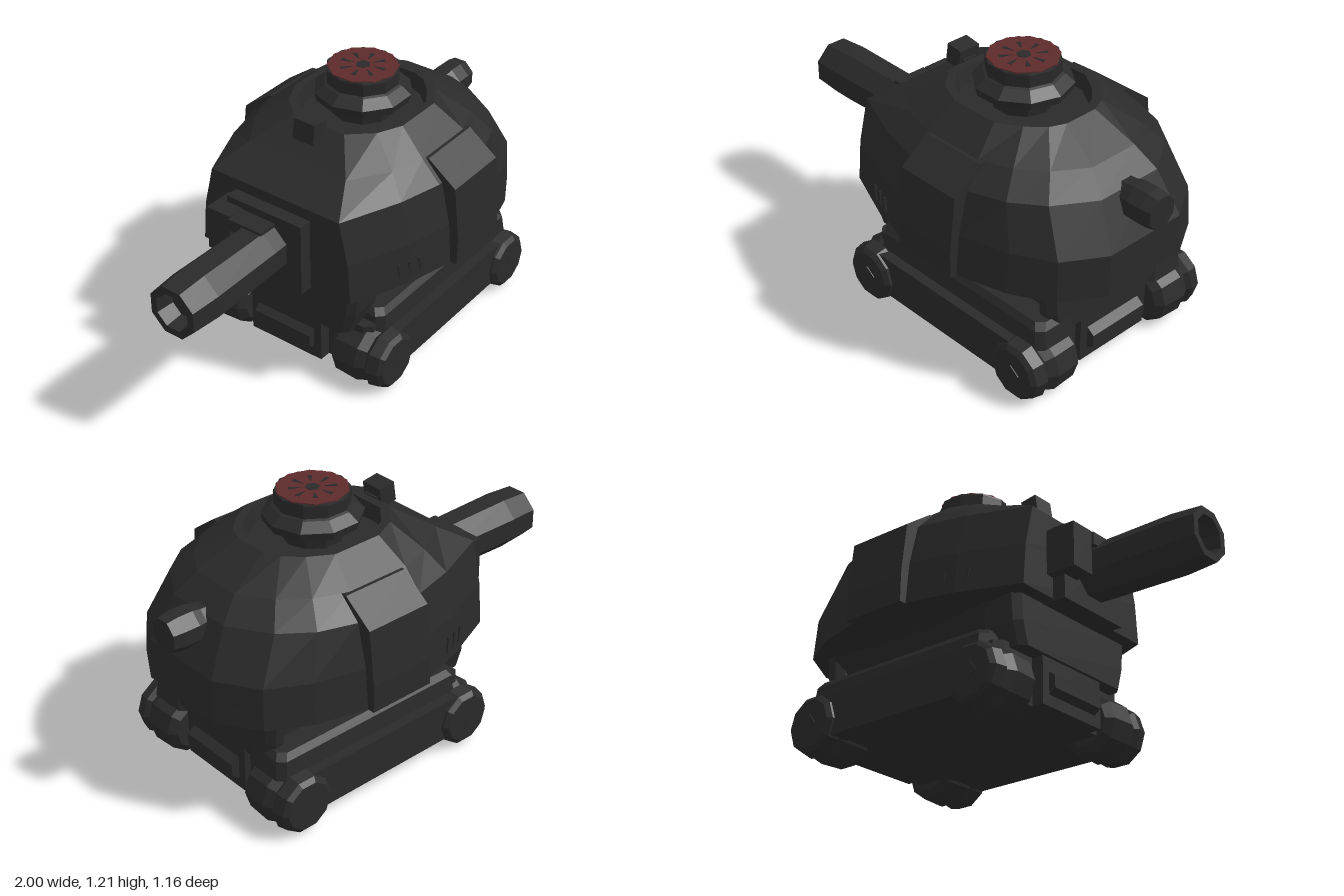
import * as THREE from 'three';

const flat = (name, color) => {
  const m = new THREE.MeshStandardMaterial({ color, flatShading: true });
  m.name = name;
  return m;
};

// Skin a stack of closed rings (counter-clockwise from above), capped at both ends
function loft(rings) {
  const v = [];
  const n = rings[0].length;
  const mid = r => r.reduce((s, p) => s.map((c, i) => c + p[i] / n), [0, 0, 0]);
  const low = mid(rings[0]), top = mid(rings.at(-1));
  for (let i = 0; i < n; i++) {
    const j = (i + 1) % n;
    for (let k = 0; k < rings.length - 1; k++) {
      const a = rings[k], b = rings[k + 1];
      v.push(...a[i], ...a[j], ...b[j], ...a[i], ...b[j], ...b[i]);
    }
    v.push(...low, ...rings[0][j], ...rings[0][i], ...top, ...rings.at(-1)[i], ...rings.at(-1)[j]);
  }
  const g = new THREE.BufferGeometry();
  g.setAttribute('position', new THREE.Float32BufferAttribute(v, 3));
  g.computeVertexNormals();
  return g;
}

// Ring from one half outline (x, z), mirrored across z
const ring = (y, half) => [
  ...half.map(([x, z]) => [x, y, z]),
  ...[...half].reverse().map(([x, z]) => [x, y, -z]),
];
// Ring for a rectangle with cut corners
const rect = (y, x0, x1, z, c = 0.03) => ring(y, [[x0, z - c], [x0 + c, z], [x1 - c, z], [x1, z - c]]);

export function createModel() {
  const dark = flat('dark metal', 0x2a2a2a);
  const red = flat('hatch red', 0x5e2b2b);
  const model = new THREE.Group();
  const add = (name, geo, mat = dark, x = 0, y = 0, z = 0, parent = model) => {
    const m = new THREE.Mesh(geo, mat);
    m.name = name;
    m.position.set(x, y, z);
    parent.add(m);
    return m;
  };
  const box = (name, x0, x1, y0, y1, z0, z1) =>
    add(name, new THREE.BoxGeometry(x1 - x0, y1 - y0, z1 - z0), dark, (x0 + x1) / 2, (y0 + y1) / 2, (z0 + z1) / 2);

  // Turret shell with a sunken ring around the hatch
  const base = [[-0.37, 0.39], [-0.1, 0.5], [0.1, 0.55], [0.43, 0.55], [0.65, 0.49], [0.83, 0.39], [0.935, 0.21]];
  const rim = [[-0.07, 0.13], [0.02, 0.23], [0.13, 0.28], [0.36, 0.28], [0.46, 0.22], [0.53, 0.15], [0.56, 0.08]];
  const shrink = (pts, s) => pts.map(([x, z]) => [0.24 + (x - 0.24) * s, z * s]);
  add('turretShell', loft([
    ring(0.475, shrink(base, 0.7)),
    ring(0.505, base),
    ring(0.69, [[-0.37, 0.375], [-0.1, 0.485], [0.1, 0.535], [0.43, 0.535], [0.65, 0.475], [0.82, 0.38], [0.93, 0.2]]),
    ring(0.88, [[-0.37, 0.33], [-0.1, 0.44], [0.1, 0.49], [0.43, 0.49], [0.59, 0.435], [0.72, 0.335], [0.83, 0.16]]),
    ring(0.97, [[-0.22, 0.25], [-0.05, 0.36], [0.1, 0.405], [0.4, 0.405], [0.54, 0.35], [0.65, 0.26], [0.74, 0.12]]),
    ring(1.07, rim),
    ring(1.07, shrink(rim, 0.88)),
    ring(1.0, shrink(rim, 0.84)),
  ]));

  // Raised armour panels and vent ribs on both sides of the turret
  const panel = new THREE.Shape([[0.38, 0.505], [0.582, 0.505], [0.582, 0.63], [0.556, 0.87], [0.42, 0.97], [0.38, 0.97]]
    .map(([z, y]) => new THREE.Vector2(-z, y)));
  for (const s of [1, -1]) {
    const g = new THREE.ExtrudeGeometry(panel, { depth: 0.31, bevelEnabled: false });
    g.translate(0, 0, -0.155).rotateY(s * Math.PI / 2);
    add('sidePanel', g, dark, 0.275, 0, 0);
    for (let i = 0; i < 3; i++) {
      const x = -0.15 + i * 0.05;
      const rib = add('ventRib', new THREE.BoxGeometry(0.012, 0.07, 0.008), dark, x, 0.58, s * (0.494 + (x + 0.1) * 0.33));
      rib.rotation.set(0, -s * 0.35, 0.15);
    }
  }

  // Hatch tower with a red lid and dark wedge slots
  const lathe = (pts, sides) => new THREE.LatheGeometry(pts.map(p => new THREE.Vector2(...p)), sides, Math.PI / sides);
  const hx = 0.235;
  add('hatchTower', lathe([[0.13, 0.99], [0.14, 1.06], [0.205, 1.075], [0.213, 1.11], [0.17, 1.145], [0.158, 1.15], [0.16, 1.205], [0.158, 1.212], [0, 1.212]], 10), dark, hx);
  add('hatchLid', new THREE.CylinderGeometry(0.153, 0.153, 0.006, 10), red, hx, 1.213);
  add('lidHub', new THREE.CylinderGeometry(0.032, 0.032, 0.008, 6), dark, hx, 1.214);
  for (let i = 0; i < 8; i++) {
    const a = i * Math.PI / 4 + 0.2;
    const slot = add('lidSlot', new THREE.CylinderGeometry(0.036, 0.036, 0.004, 3), dark,
      hx + Math.sin(a) * 0.082, 1.2155, Math.cos(a) * 0.082);
    slot.scale.x = 0.35;
    slot.rotation.y = a + Math.PI;
  }

  // Main gun with a hollow muzzle, its mount and side block
  const gun = lathe([[0, 0.3], [0.115, 0.3], [0.122, 0.5], [0.128, 0.86], [0.118, 1], [0.085, 1], [0.075, 0.92], [0, 0.92]], 8);
  gun.rotateZ(Math.PI / 2);
  add('gunBarrel', gun, dark, 0, 0.67, 0);
  box('gunMount', -0.43, -0.3, 0.495, 0.83, -0.2, 0.185);
  box('gunSideBlock', -0.51, -0.35, 0.6, 0.8, -0.24, -0.12);
  box('gunTopBlock', -0.52, -0.42, 0.74, 0.795, -0.12, 0.05);

  // Exhaust pipe at the far end
  const pipe = lathe([[0, 0.6], [0.06, 0.6], [0.075, 0.84], [0.085, 0.88], [0.085, 0.95], [0.075, 1], [0, 1]], 8);
  pipe.rotateZ(-Math.PI / 2);
  add('exhaustPipe', pipe, dark, 0, 0.832, 0);

  // Periscope
  box('periscopeStalk', -0.14, -0.08, 0.95, 1.07, -0.035, 0.035);
  const scope = box('periscopeHead', -0.17, -0.09, 1.03, 1.12, -0.055, 0.05);
  scope.rotation.z = -0.15;

  // Hull: neck ends, undercut middle, lower body
  for (const [x0, x1] of [[-0.32, -0.12], [0.68, 0.78]])
    add('neckEnd', loft([rect(0.28, x0, x1, 0.33), rect(0.38, x0, x1, 0.36), rect(0.5, x0, x1, 0.37)]));
  add('neckMiddle', loft([rect(0.28, -0.2, 0.74, 0.31), rect(0.4, -0.2, 0.74, 0.31), rect(0.49, -0.2, 0.74, 0.38)]));
  add('lowerHull', loft([rect(0.07, -0.25, 0.75, 0.4), rect(0.3, -0.25, 0.75, 0.4)]));
  box('endHull', -0.305, 0.78, 0.07, 0.41, -0.19, 0.19);
  for (const s of [1, -1]) {
    const x = s > 0 ? 0.78 : -0.3;
    // Bumper bar and a pair of lamps
    const bar = new THREE.CylinderGeometry(0.075, 0.075, 0.3, 6);
    bar.rotateX(Math.PI / 2).scale(0.55, 0.72, 1);
    add('bumperBar', bar, dark, x, 0.17, 0);
    for (const z of [-0.03, 0.05])
      box('endLamp', x - 0.01, x + 0.01, 0.375, 0.4, z - 0.025, z + 0.025);

    // Track skirts and fenders
    const zs = s * 0.43;
    box('trackSkirt', -0.15, 0.68, 0.07, 0.26, zs - 0.05, zs + 0.05);
    const fender = loft([
      rect(0.25, -0.2, 0.79, 0.11), rect(0.335, -0.2, 0.78, 0.1), rect(0.362, -0.18, 0.76, 0.08),
    ]);
    add('fender', fender, dark, 0, 0, s * 0.325);

    // Wheels: wide inner drum, outer disc, diamond hub
    for (const wx of [-0.19, 0.705]) {
      const wheel = new THREE.Group();
      wheel.name = 'wheel';
      wheel.position.set(wx, 0.14, 0);
      model.add(wheel);
      const g = lathe([[0, 0.235], [0.105, 0.235], [0.137, 0.265], [0.143, 0.38], [0.12, 0.42], [0.138, 0.44], [0.128, 0.49], [0.108, 0.507], [0, 0.507]], 10);
      g.rotateX(s * Math.PI / 2);
      add('wheelDrum', g, dark, 0, 0, 0, wheel);
      const hub = new THREE.CylinderGeometry(0.04, 0.04, 0.008, 4);
      hub.rotateX(Math.PI / 2).rotateZ(0.15);
      add('wheelHub', hub, dark, 0, 0, s * 0.507, wheel);
    }
  }
  return model;
}
